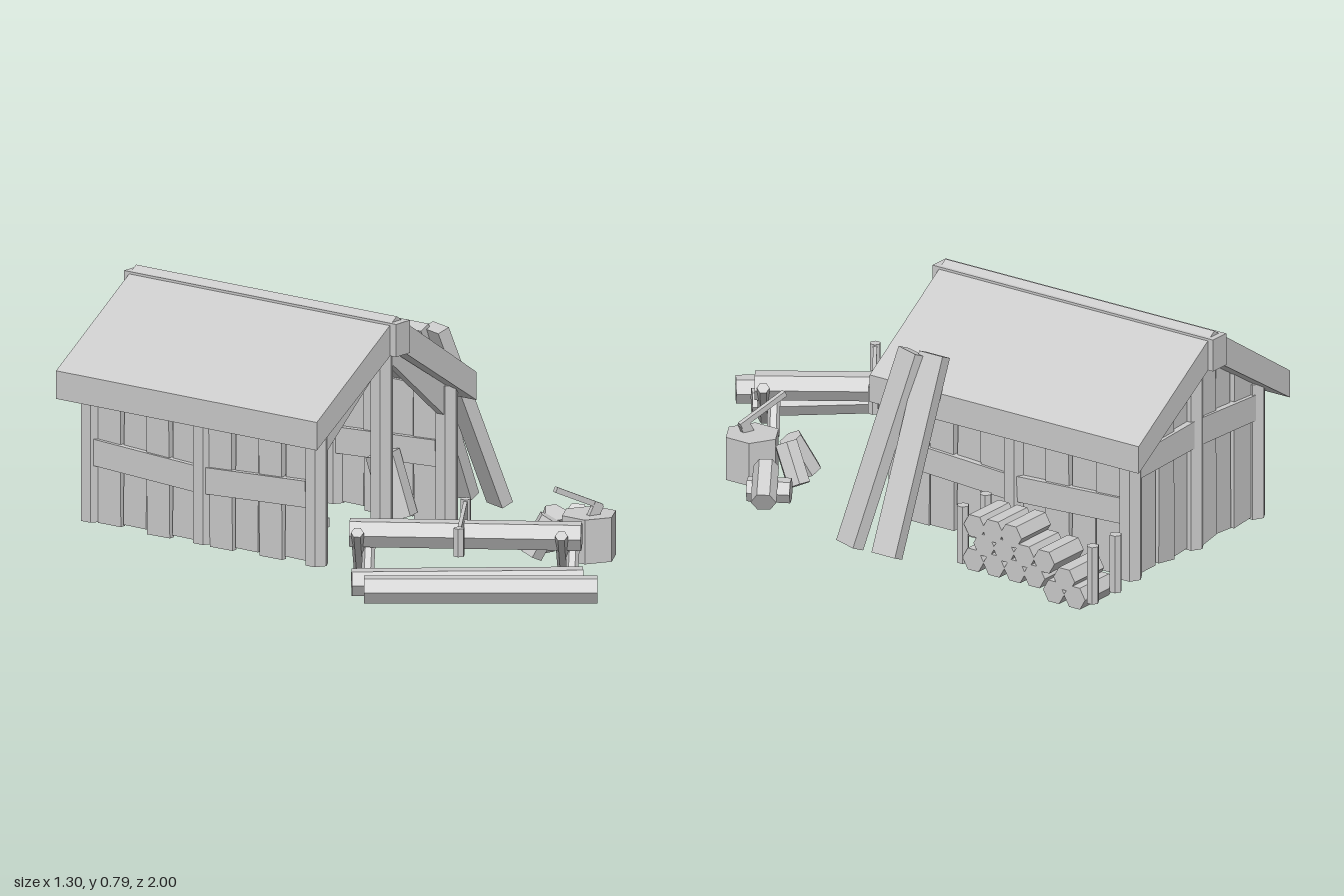
import * as THREE from 'three';

const CX = -0.015; // shed centre line
const mat = new THREE.MeshStandardMaterial({ color: 0xcccccc, flatShading: true, side: THREE.DoubleSide });
const V = (p) => new THREE.Vector3(...p);

function add(parent, name, geo, pos = [0, 0, 0]) {
  const m = new THREE.Mesh(geo, mat);
  m.name = name;
  m.position.set(...pos);
  parent.add(m);
  return m;
}

// Lay a y-aligned geometry between two points, its local z kept level
function span(parent, name, a, b, make) {
  const A = V(a), B = V(b), dir = B.clone().sub(A);
  const m = add(parent, name, make(dir.length()));
  const y = dir.normalize();
  const z = new THREE.Vector3(-y.z, 0, y.x);
  if (z.lengthSq() < 1e-6) z.set(0, 0, 1);
  z.normalize();
  const x = new THREE.Vector3().crossVectors(y, z);
  m.quaternion.setFromRotationMatrix(new THREE.Matrix4().makeBasis(x, y, z));
  m.position.copy(A.add(B).multiplyScalar(0.5));
  return m;
}
const log = (p, name, a, b, r) => span(p, name, a, b, (l) => new THREE.CylinderGeometry(r, r, l, 6));
const board = (p, name, a, b, t, w) => span(p, name, a, b, (l) => new THREE.BoxGeometry(t, l, w));

function extrude(points, depth) {
  const s = new THREE.Shape(points.map(([x, y]) => new THREE.Vector2(x, y)));
  return new THREE.ExtrudeGeometry(s, { depth, bevelEnabled: false });
}
// Underside of the roof at distance d from the centre line
const under = (d) => 0.675 - 0.6 * d;

function group(parent, name) {
  const g = new THREE.Group();
  g.name = name;
  parent.add(g);
  return g;
}

function buildShed(root) {
  const g = group(root, 'shed');

  // Roof slopes and ridge beam
  for (const s of [-1, 1]) {
    const pts = [[0, 0.79], [0.4, 0.53], [0.4, 0.44], [0, 0.69]].map(([x, y]) => [CX + s * x, y]);
    add(g, 'roofSlope', extrude(pts, 1.035), [0, 0, -0.98]);
  }
  add(g, 'ridgeBeam', new THREE.BoxGeometry(0.07, 0.105, 1.08), [CX, 0.7225, -0.46]);

  // Posts
  const post = (x, z, top) => log(g, 'post', [x, 0.05, z], [x, top, z], 0.038);
  for (const s of [-1, 1]) for (const z of [-0.005, -0.45, -0.895]) post(CX + s * 0.325, z, 0.5);
  for (const z of [-0.005, -0.895]) post(CX, z, 0.69);

  // Gable rafters under the roof edge at the front
  for (const s of [-1, 1]) {
    const pts = [[0, 0.65], [0.32, 0.385], [0.32, 0.49], [0, 0.685]].map(([x, y]) => [CX + s * x, y]);
    add(g, 'gableRafter', extrude(pts, 0.03), [0, 0, -0.02]);
  }

  // Back wall: uneven boards cut to the roof slope, with a rail in each bay
  const jitter = [0.006, -0.004, 0.003, -0.006, 0.005, -0.002];
  const cuts = [0.015, 0.11, 0.2, 0.31];
  for (const s of [-1, 1]) {
    for (let i = 0; i < 3; i++) {
      const j = jitter[s > 0 ? i : i + 3];
      const a = cuts[i] + 0.003, b = cuts[i + 1] - 0.003;
      const pts = [[a, 0.05 + j], [b, 0.055 - j], [b - Math.abs(j), under(b) + 0.02], [a + Math.abs(j), under(a) + 0.02]];
      add(g, 'backBoard', extrude(pts.map(([x, y]) => [CX + s * x, y]), 0.02), [0, 0, -0.905 + j]);
    }
    const rail = [[0.02, 0.39], [0.31, 0.38], [0.31, 0.465], [0.02, 0.48]].map(([x, y]) => [CX + s * x, y]);
    add(g, 'backRail', extrude(rail, 0.05), [0, 0, -0.92]);
  }

  // Side walls: two bays of boards with a slightly tilted rail each
  for (const s of [-1, 1]) for (let bay = 0; bay < 2; bay++) {
    const x = CX + s * 0.325, z0 = -0.03 - bay * 0.445;
    for (let i = 0; i < 4; i++) {
      const j = jitter[(i + bay * 2 + (s > 0 ? 1 : 0)) % 6];
      const z = z0 - 0.05 - i * 0.098;
      const m = add(g, 'sideBoard', new THREE.BoxGeometry(0.02, 0.43, 0.09), [x + j, 0.265 + j, z]);
      m.rotation.x = j * 2;
    }
    const tilt = bay ? 0.01 : -0.01;
    board(g, 'sideRail', [x, 0.265 - tilt, z0], [x, 0.265 + tilt, z0 - 0.4], 0.085, 0.05);
  }

  // Boards stored inside along one wall
  const b = group(g, 'storedBoards');
  [[-0.25, 0.12], [-0.16, 0.12], [-0.21, 0.155]].forEach(([x, y], i) =>
    board(b, 'storedBoard', [x, y, -0.1 - i * 0.03], [x + 0.01 * i, y, -0.85], 0.03, 0.08));
  // Log standing inside the open bay
  log(g, 'insideLog', [0.25, 0.06, -0.14], [0.235, 0.26, -0.2], 0.055);
}

function buildWoodpile(root) {
  const g = group(root, 'woodpile');
  const rows = [
    { y: 0.037, z: [-0.755, -0.835] },
    { y: 0.072, z: [-0.445, -0.525, -0.605, -0.68] },
    { y: 0.088, z: [-0.795] },
    { y: 0.13, z: [-0.487, -0.563, -0.64, -0.717] },
    { y: 0.185, z: [-0.45, -0.52, -0.59] },
  ];
  rows.forEach(({ y, z }) => z.forEach((c) => log(g, 'pileLog', [0.37, y, c], [0.525, y, c], 0.041)));
  for (const x of [0.39, 0.51]) {
    log(g, 'pileStake', [x, 0.05, -0.395], [x, 0.24, -0.395], 0.02);
    log(g, 'pileStake', [x, 0.03, -0.895], [x, 0.22, -0.895], 0.02);
  }
}

function buildSawhorse(root) {
  const g = group(root, 'sawhorse');
  const a = [-0.42, 0.2, 0.19], b = [-0.01, 0.2, 0.785];
  log(g, 'sawLog', a, b, 0.047);
  // Crossed legs square to the log
  const n = V([b[2] - a[2], 0, a[0] - b[0]]).normalize();
  for (const t of [0.06, 0.94]) for (const s of [-1, 1]) {
    const c = V(a).lerp(V(b), t + s * 0.022);
    log(g, 'crossLeg', [c.x - s * n.x * 0.075, 0.06, c.z - s * n.z * 0.075],
      [c.x + s * n.x * 0.06, 0.215, c.z + s * n.z * 0.06], 0.02);
  }
  // Two-handed saw lying across
  const h0 = [-0.378, 0.225, 0.59], h1 = [-0.08, 0.225, 0.38];
  span(g, 'sawBlade', h0, h1, (l) => new THREE.BoxGeometry(0.08, l, 0.012));
  for (const h of [h0, h1]) log(g, 'sawHandle', [h[0], 0.18, h[2]], [h[0], 0.27, h[2]], 0.018);
  // Logs waiting on the ground
  log(root, 'groundLog', [-0.575, 0.092, 0.32], [-0.11, 0.092, 0.87], 0.045);
  log(root, 'groundLog', [-0.62, 0.092, 0.405], [-0.17, 0.092, 0.975], 0.045);
}

function buildChoppingPlace(root) {
  const g = group(root, 'choppingPlace');
  add(g, 'choppingStump', new THREE.CylinderGeometry(0.09, 0.09, 0.142, 6), [0.285, 0.111, 0.58]);
  // Axe stuck in the stump
  const axe = group(g, 'axe');
  board(axe, 'axeHandle', [0.152, 0.28, 0.552], [0.305, 0.205, 0.612], 0.018, 0.016);
  board(axe, 'axeHead', [0.272, 0.168, 0.6], [0.295, 0.215, 0.609], 0.035, 0.016);
  // Cut pieces scattered around
  const cuts = [
    [[0.17, 0.05, 0.44], [0.215, 0.165, 0.485]],
    [[0.285, 0.05, 0.4], [0.265, 0.17, 0.465]],
    [[0.39, 0.135, 0.45], [0.5, 0.065, 0.38]],
    [[0.375, 0.068, 0.365], [0.44, 0.068, 0.485]],
  ];
  cuts.forEach(([a, b]) => log(g, 'cutLog', a, b, 0.04));
}

export function createModel() {
  const root = new THREE.Group();
  root.name = 'woodcutterShed';
  buildShed(root);
  buildWoodpile(root);
  buildSawhorse(root);
  buildChoppingPlace(root);
  // Planks leaning against the roof edge
  board(root, 'leaningPlank', [0.365, 0.647, -0.18], [0.617, 0.053, -0.18], 0.042, 0.09);
  board(root, 'leaningPlank', [0.385, 0.647, -0.108], [0.61, 0.053, -0.032], 0.042, 0.09);
  return root;
}
